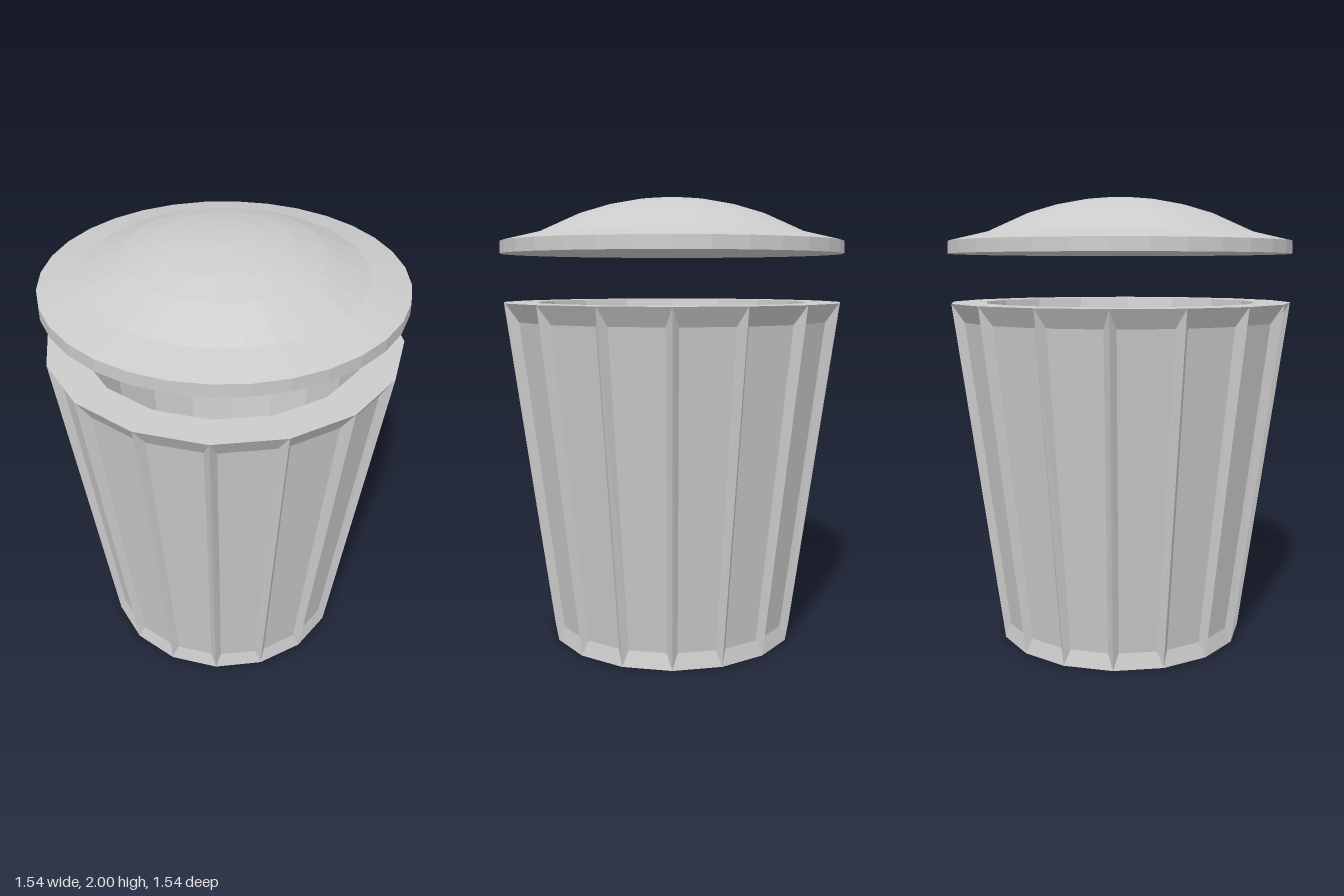
import * as THREE from 'three';

const SIDES = 16;
const HEIGHT = 1.535;
const R_BOTTOM = 0.56;
const R_TOP = 0.77;
const HALF = Math.PI / SIDES;

const material = new THREE.MeshStandardMaterial({ color: 0xcccccc, flatShading: true });

function addMesh(parent, name, geometry) {
  const mesh = new THREE.Mesh(geometry, material);
  mesh.name = name;
  parent.add(mesh);
  return mesh;
}

// Flat-shaded surface of revolution from [radius, y] pairs
function revolve(profile, sides, start = 0) {
  const points = profile.map(([r, y]) => new THREE.Vector2(r, y));
  return new THREE.LatheGeometry(points, sides, start);
}

// Tapered outer wall: every side is a recessed panel framed by sloping strips
function wallGeometry() {
  const positions = [];
  const radiusAt = (y) => THREE.MathUtils.lerp(R_BOTTOM, R_TOP, y / HEIGHT);
  const quad = (a, b, c, d) => {
    for (const p of [a, b, c, a, c, d]) positions.push(...p);
  };

  for (let i = 0; i < SIDES; i++) {
    const angle = i * 2 * HALF;
    const s = Math.sin(angle);
    const c = Math.cos(angle);
    const point = (u, y, depth) => {
      const r = radiusAt(y) * Math.cos(HALF) - depth;
      return [r * s + u * c, y, r * c - u * s];
    };
    const wBottom = R_BOTTOM * Math.sin(HALF);
    const wTop = R_TOP * Math.sin(HALF);
    const outer = [
      point(-wBottom, 0, 0), point(wBottom, 0, 0),
      point(wTop, HEIGHT, 0), point(-wTop, HEIGHT, 0),
    ];
    const inner = [
      point(-0.083, 0.07, 0.025), point(0.083, 0.07, 0.025),
      point(0.115, 1.455, 0.035), point(-0.115, 1.455, 0.035),
    ];
    quad(...inner);
    for (let k = 0; k < 4; k++) {
      const n = (k + 1) % 4;
      quad(outer[k], outer[n], inner[n], inner[k]);
    }
  }

  const geometry = new THREE.BufferGeometry();
  geometry.setAttribute('position', new THREE.Float32BufferAttribute(positions, 3));
  geometry.computeVertexNormals();
  return geometry;
}

export function createModel() {
  const model = new THREE.Group();
  model.name = 'trashCan';

  // Bin body
  const bin = new THREE.Group();
  bin.name = 'bin';
  model.add(bin);
  addMesh(bin, 'panelledWall', wallGeometry());
  addMesh(bin, 'base', revolve([[0, 0], [R_BOTTOM, 0]], SIDES, HALF));
  addMesh(bin, 'rimAndInside', revolve(
    [[R_TOP, HEIGHT], [0.615, HEIGHT], [0.44, 0.12], [0, 0.12]], SIDES, HALF));

  // Lid hovering above the bin: flat underside, upright rim, shallow brim, domed centre
  const profile = [[0, 1.75], [0.77, 1.75], [0.77, 1.805]];
  const domeRadius = 1.24;
  for (const r of [0.6, 0.42, 0.295, 0.17, 0.08, 0]) {
    profile.push([r, 2 - domeRadius + Math.sqrt(domeRadius ** 2 - r ** 2)]);
  }
  addMesh(model, 'lid', revolve(profile, 32));

  return model;
}
